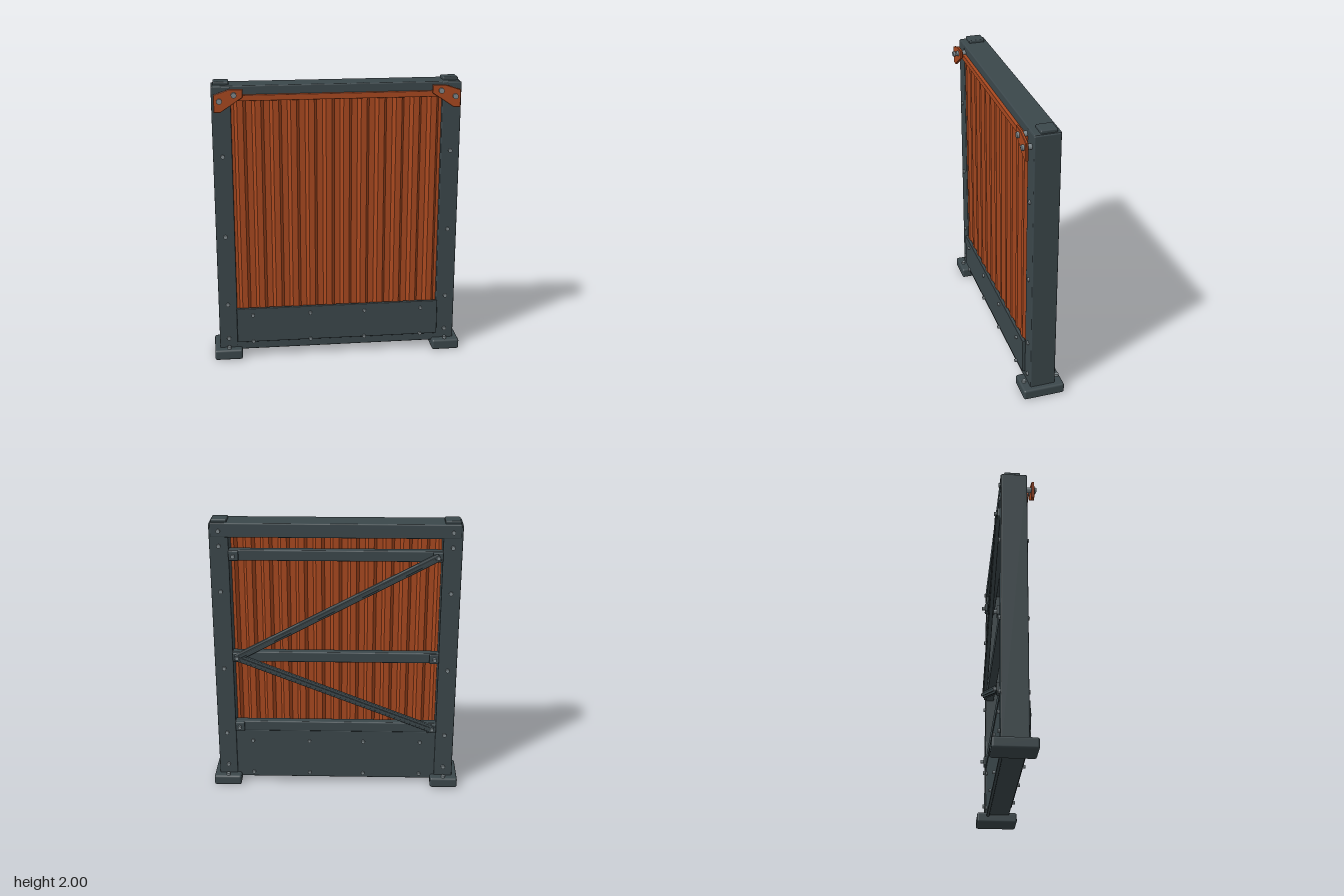
import * as THREE from 'three';
import { RoundedBoxGeometry } from 'three/addons/geometries/RoundedBoxGeometry.js';

const mat = (name, color) => new THREE.MeshStandardMaterial({ name, color });

export function createModel() {
  const root = new THREE.Group();
  root.name = 'corrugatedWallPanel';
  const steel = mat('slate steel', 0x3b474b);
  const rust = mat('rust orange', 0xa8481f);
  const boltGrey = mat('bolt grey', 0x7f898d);

  function add(name, geo, material, x = 0, y = 0, z = 0) {
    const m = new THREE.Mesh(geo, material);
    m.name = name;
    m.position.set(x, y, z);
    root.add(m);
    return m;
  }
  // Softly bevelled block given by its extents
  function block(name, x0, x1, y0, y1, z0, z1, material = steel, r = 0.008) {
    const w = x1 - x0, h = y1 - y0, d = z1 - z0;
    const geo = new RoundedBoxGeometry(w, h, d, 2, Math.min(r, w / 3, h / 3, d / 3));
    return add(name, geo, material, (x0 + x1) / 2, (y0 + y1) / 2, (z0 + z1) / 2);
  }
  const mirrored = (name, x0, x1, ...rest) => {
    block(name, x0, x1, ...rest);
    block(name, -x1, -x0, ...rest);
  };
  // Bolt head along z, or upright when axis is 'y'
  function bolt(x, y, z, r = 0.014, h = 0.024, axis = 'z') {
    const m = add('bolt', new THREE.CylinderGeometry(r, r, h, 12), boltGrey, x, y, z);
    if (axis === 'z') m.rotation.x = Math.PI / 2;
  }

  // Frame: posts, feet, caps, top and bottom beams
  mirrored('post', 0.72, 0.85, 0.05, 1.975, -0.09, 0.085);
  mirrored('foot', 0.69, 0.887, 0.005, 0.08, -0.148, 0.142, steel, 0.015);
  mirrored('postCap', 0.73, 0.835, 1.965, 2.0, -0.07, 0.04);
  block('topBeam', -0.84, 0.84, 1.88, 1.98, -0.093, 0.083);
  block('bottomBeam', -0.73, 0.73, 0.06, 0.125, -0.075, 0.085);

  // Corrugated sheet: trapezoid ribs traced as a thin closed ribbon
  const ribs = 12, pitch = 1.44 / ribs, front = 0.09, valley = 0.05, t = 0.006;
  const line = [];
  for (let i = 0; i < ribs; i++) {
    const x = -0.72 + i * pitch;
    line.push([x, valley], [x + 0.02, valley], [x + 0.04, front], [x + 0.08, front], [x + 0.1, valley]);
  }
  line.push([0.72, valley]);
  const outline = [
    ...line.map(([x, z]) => new THREE.Vector2(x, -z)),
    ...line.slice().reverse().map(([x, z]) => new THREE.Vector2(x, -z + t)),
  ];
  const sheet = new THREE.ExtrudeGeometry(new THREE.Shape(outline), { depth: 1.78, bevelEnabled: false });
  sheet.rotateX(-Math.PI / 2);
  add('corrugatedSheet', sheet, rust, 0, 0.12, 0);

  // Trim strip above the sheet
  block('topTrim', -0.72, 0.72, 1.88, 1.92, 0.08, 0.107, rust, 0.004);

  // Kick plates on both faces
  block('frontKickPlate', -0.725, 0.725, 0.122, 0.38, 0.08, 0.105, steel, 0.005);
  block('backKickPlate', -0.725, 0.725, 0.048, 0.43, -0.082, -0.06, steel, 0.005);
  for (const x of [-0.61, -0.2, 0.19, 0.6]) {
    bolt(x, 0.33, 0.107, 0.012);
    bolt(x, 0.128, 0.107, 0.012);
    bolt(x, 0.345, -0.084, 0.012);
    bolt(x, 0.085, -0.084, 0.012);
  }

  // Corner gussets with their standoffs and bolts
  const corner = [[0.835, 1.81], [0.835, 1.93], [0.73, 1.965], [0.64, 1.965], [0.64, 1.91], [0.79, 1.81]];
  for (const s of [-1, 1]) {
    const shape = new THREE.Shape(corner.map(([x, y]) => new THREE.Vector2(s * x, y)));
    const geo = new THREE.ExtrudeGeometry(shape, {
      depth: 0.012, bevelEnabled: true, bevelThickness: 0.003, bevelSize: 0.003, bevelOffset: -0.003, bevelSegments: 1,
    });
    add('cornerGusset', geo, rust, 0, 0, 0.119);
    for (const [x, y] of [[0.797, 1.887], [0.7, 1.927]]) {
      bolt(s * x, y, 0.115, 0.019, 0.07);
    }
  }

  // Post and foot bolts
  for (const s of [-1, 1]) {
    for (const y of [0.15, 0.41, 0.92, 1.495]) bolt(s * 0.785, y, 0.085);
    for (const y of [0.15, 0.41, 0.92, 1.495, 1.82, 1.925]) bolt(s * 0.785, y, -0.092);
    for (const z of [-0.125, 0.11]) bolt(s * 0.785, 0.085, z, 0.014, 0.024, 'y');
  }

  // Back rails with end brackets
  for (const y of [1.755, 1.01, 0.465]) {
    block('backRail', -0.73, 0.73, y - 0.038, y + 0.038, -0.088, -0.03);
    mirrored('railBracket', 0.655, 0.722, y - 0.035, y + 0.035, -0.106, -0.07);
    for (const s of [-1, 1]) bolt(s * 0.69, y, -0.115, 0.013, 0.026);
  }

  // Diagonal braces fanning out from one side, each with a raised rib
  for (const yEnd of [1.755, 0.465]) {
    const a = new THREE.Vector2(0.69, 1.01), b = new THREE.Vector2(-0.69, yEnd);
    const length = a.distanceTo(b) + 0.02;
    const brace = new THREE.Group();
    brace.name = 'diagonalBrace';
    const bar = new THREE.Mesh(new RoundedBoxGeometry(length, 0.052, 0.03, 2, 0.006), steel);
    bar.name = 'braceBar';
    const rib = new THREE.Mesh(new RoundedBoxGeometry(length - 0.06, 0.022, 0.012, 1, 0.003), steel);
    rib.name = 'braceRib';
    rib.position.z = -0.014;
    brace.add(bar, rib);
    brace.position.set(0, (a.y + b.y) / 2, -0.1);
    brace.rotation.z = Math.atan2(a.y - b.y, a.x - b.x);
    root.add(brace);
  }
  return root;
}
